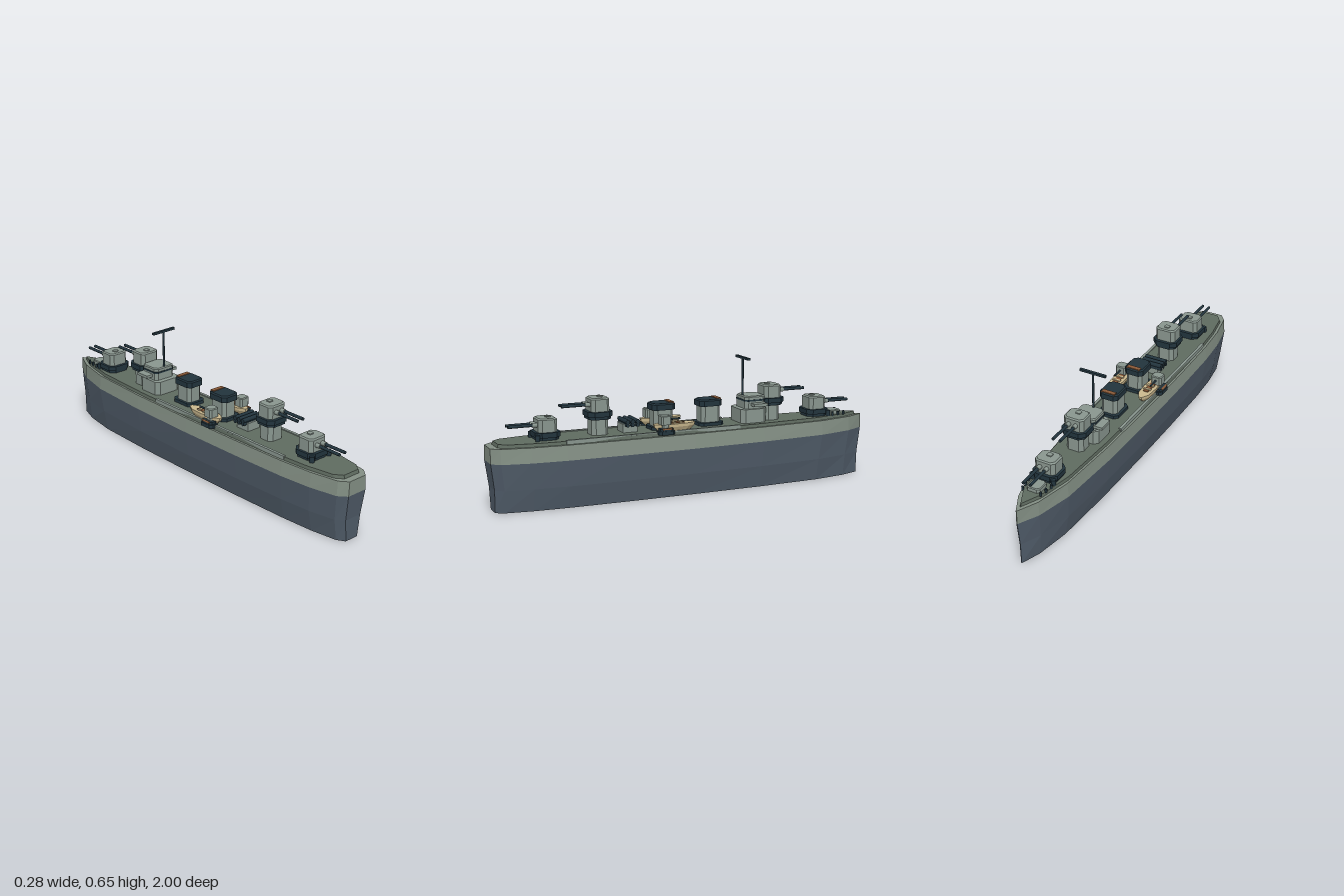
import * as THREE from 'three';

const mat = (name, color) => {
  const m = new THREE.MeshStandardMaterial({ color });
  m.name = name;
  return m;
};

// Outline of half-widths [x, z] from stern (+z) to bow (-z), mirrored into a closed ring
const mirrorRing = (half, y, sx, sz) => [
  ...half.map(([x, z]) => [x * sx, y, z * sz]),
  ...half.slice().reverse().map(([x, z]) => [-x * sx, y, z * sz]),
];

// Rectangle with chamfered corners, counter-clockwise from above
const octRing = (w, d, c, y) => mirrorRing([[w - c, d], [w, d - c], [w, -d + c], [w - c, -d]], y, 1, 1);

// Flat-faced solid through a stack of rings, lowest first
function loft(rings, capBottom = true, capTop = true) {
  const pos = [];
  const tri = (...p) => p.forEach((v) => pos.push(...v));
  const n = rings[0].length;
  for (let k = 0; k < rings.length - 1; k++) {
    for (let i = 0; i < n; i++) {
      const j = (i + 1) % n, a = rings[k], b = rings[k + 1];
      tri(a[i], a[j], b[j]);
      tri(a[i], b[j], b[i]);
    }
  }
  const low = rings[0], top = rings[rings.length - 1];
  for (let i = 0; i < n; i++) {
    const j = (i + 1) % n;
    if (capBottom) tri([0, low[0][1], 0], low[j], low[i]);
    if (capTop) tri([0, top[0][1], 0], top[i], top[j]);
  }
  const g = new THREE.BufferGeometry();
  g.setAttribute('position', new THREE.Float32BufferAttribute(pos, 3));
  g.computeVertexNormals();
  return g;
}

export function createModel() {
  const slate = mat('lower hull slate', 0x505c69);
  const grey = mat('upper hull grey', 0x838f84);
  const light = mat('superstructure grey', 0x89968f);
  const deckGreen = mat('deck green', 0x5f6b60);
  const dark = mat('dark steel', 0x22343d);
  const tan = mat('boat tan', 0xcbb98f);
  const brown = mat('rust brown', 0x8a5a38);

  const ship = new THREE.Group();
  ship.name = 'warship';

  const add = (parent, name, geo, material, x = 0, y = 0, z = 0) => {
    const m = new THREE.Mesh(geo, material);
    m.name = name;
    m.position.set(x, y, z);
    parent.add(m);
    return m;
  };
  const box = (parent, name, material, w, h, d, x, y, z) =>
    add(parent, name, new THREE.BoxGeometry(w, h, d), material, x, y, z);
  // Chamfered block between two heights, with an optional bevelled roof
  const block = (parent, name, material, w, d, c, y0, y1, z = 0, bevel = 0, x = 0) => {
    const rings = [octRing(w, d, c, y0), octRing(w, d, c, y1 - bevel)];
    if (bevel) rings.push(octRing(w - bevel, d - bevel, c, y1));
    return add(parent, name, loft(rings), material, x, 0, z);
  };
  // Rod along the x, y or z axis
  const rod = (parent, name, material, r, len, axis, x, y, z) => {
    const m = add(parent, name, new THREE.CylinderGeometry(r, r, len, 10), material, x, y, z);
    if (axis === 'x') m.rotation.z = Math.PI / 2;
    if (axis === 'z') m.rotation.x = Math.PI / 2;
    return m;
  };
  const group = (name) => {
    const g = new THREE.Group();
    g.name = name;
    ship.add(g);
    return g;
  };

  // Hull
  const plan = [[0.055, 1], [0.09, 0.96], [0.117, 0.82], [0.13, 0.65], [0.135, 0.35], [0.134, 0],
    [0.124, -0.38], [0.1, -0.72], [0.055, -0.9], [0.002, -1]];
  const waist = mirrorRing(plan, 0.238, 1, 1);
  const rim = mirrorRing(plan, 0.31, 0.94, 1);
  add(ship, 'lowerHull', loft([
    mirrorRing(plan, 0, 0.67, 0.98), mirrorRing(plan, 0.11, 0.87, 0.983), waist,
  ], true, false), slate);
  add(ship, 'upperHull', loft([waist, rim], false, true), grey);
  add(ship, 'deck', loft([
    mirrorRing(plan, 0.31, 0.86, 0.965), mirrorRing(plan, 0.326, 0.84, 0.96),
  ], false, true), deckGreen);
  for (const s of [1, -1]) {
    box(ship, 'sideWaterway', light, 0.014, 0.018, 0.9, s * 0.106, 0.322, 0.2);
  }

  // Twin gun turrets; raised ones stand on a pedestal
  const turret = (name, z, dir, raised) => {
    const t = group(name);
    t.position.set(0, raised ? 0 : -0.077, z);
    if (dir < 0) t.rotation.y = Math.PI;
    if (raised) block(t, 'pedestal', light, 0.045, 0.042, 0.018, 0.325, 0.41);
    block(t, 'collar', dark, 0.058, 0.056, 0.024, 0.402, 0.418);
    block(t, 'collarRing', dark, 0.065, 0.062, 0.026, 0.416, 0.44);
    block(t, 'gunHouse', light, 0.053, 0.046, 0.016, 0.43, 0.505, 0, 0.006);
    block(t, 'roofHatch', light, 0.013, 0.012, 0.004, 0.503, 0.51, -0.012);
    for (const s of [1, -1]) {
      rod(t, 'barrelSleeve', light, 0.011, 0.03, 'z', s * 0.018, 0.473, 0.055);
      rod(t, 'gunBarrel', dark, 0.0075, 0.145, 'z', s * 0.018, 0.473, 0.115);
      if (!raised) {
        rod(t, 'bollard', dark, 0.012, 0.03, 'y', s * 0.055, 0.416, 0.055);
      }
    }
  };
  turret('foreLowTurret', -0.72, -1, false);
  turret('foreHighTurret', -0.463, -1, true);
  turret('aftHighTurret', 0.455, 1, true);
  turret('aftLowTurret', 0.717, 1, false);

  // Bridge and mast
  const bridge = group('bridge');
  block(bridge, 'bridgeBase', light, 0.075, 0.07, 0.02, 0.325, 0.395, -0.348);
  block(bridge, 'bridgeHouse', light, 0.06, 0.055, 0.015, 0.39, 0.458, -0.36, 0.005);
  box(bridge, 'bridgeWings', light, 0.196, 0.014, 0.075, 0, 0.417, -0.37);
  block(bridge, 'bridgeWindows', dark, 0.0625, 0.0575, 0.015, 0.432, 0.44, -0.36);
  const mast = group('mast');
  rod(mast, 'mastPole', dark, 0.0055, 0.195, 'y', 0, 0.55, -0.315);
  box(mast, 'mastCrossbar', dark, 0.136, 0.011, 0.014, 0, 0.645, -0.315);

  // Funnels
  for (const z of [-0.125, 0.127]) {
    const f = group('funnel');
    block(f, 'funnelBase', dark, 0.055, 0.065, 0.018, 0.325, 0.342, z);
    block(f, 'funnelBody', light, 0.042, 0.05, 0.016, 0.34, 0.43, z);
    block(f, 'funnelCap', dark, 0.05, 0.06, 0.018, 0.422, 0.455, z, 0.006);
    box(f, 'funnelVent', brown, 0.07, 0.008, 0.022, 0, 0.455, z - 0.043);
  }

  // Lifeboats and side gun mounts
  const boatPlan = [[0.008, 0.107], [0.028, 0.07], [0.033, 0], [0.028, -0.07], [0.008, -0.107]];
  for (const s of [1, -1]) {
    const boat = group('lifeboat');
    boat.position.set(s * 0.086, 0, 0.095);
    add(boat, 'boatHull', loft([
      mirrorRing(boatPlan, 0.328, 0.6, 0.75), mirrorRing(boatPlan, 0.35, 0.95, 0.97),
      mirrorRing(boatPlan, 0.365, 1, 1),
    ]), tan);
    box(boat, 'boatWell', brown, 0.026, 0.006, 0.08, 0, 0.366, -0.01);
    for (const z of [-0.03, 0.005]) box(boat, 'boatSeat', tan, 0.04, 0.006, 0.012, 0, 0.37, z);

    const mount = group('sideGun');
    mount.position.set(s * 0.1, 0, 0.15);
    block(mount, 'gunTub', dark, 0.028, 0.042, 0.014, 0.318, 0.336, 0, 0, s * 0.012);
    block(mount, 'gunTubRing', dark, 0.024, 0.034, 0.012, 0.334, 0.348, 0, 0, s * 0.014);
    block(mount, 'gunPedestal', light, 0.018, 0.018, 0.006, 0.345, 0.37);
    block(mount, 'gunShield', light, 0.028, 0.026, 0.009, 0.365, 0.41, 0, 0.004);
    rod(mount, 'smallBarrel', dark, 0.005, 0.06, 'z', 0, 0.388, -0.05);
    rod(mount, 'tubRail', brown, 0.005, 0.05, 'z', s * 0.034, 0.346, 0);
  }

  // Tube rack amidships
  const rack = group('tubeRack');
  box(rack, 'rackStand', light, 0.075, 0.042, 0.075, 0, 0.346, 0.302);
  for (const z of [0.276, 0.302, 0.328]) {
    rod(rack, 'upperTube', dark, 0.011, 0.116, 'x', 0, 0.38, z - 0.006);
    rod(rack, 'lowerTube', dark, 0.009, 0.116, 'x', 0, 0.363, z - 0.006);
  }

  // Foredeck fittings
  const fore = group('foredeckFittings');
  block(fore, 'windlassHouse', light, 0.035, 0.038, 0.012, 0.325, 0.347, -0.828, 0.004);
  for (const s of [1, -1]) {
    [-0.87, -0.835, -0.8].forEach((z, i) =>
      rod(fore, 'mooringPost', dark, 0.006, 0.02, 'y', s * (0.047 + i * 0.006), 0.333, z));
  }
  return ship;
}
